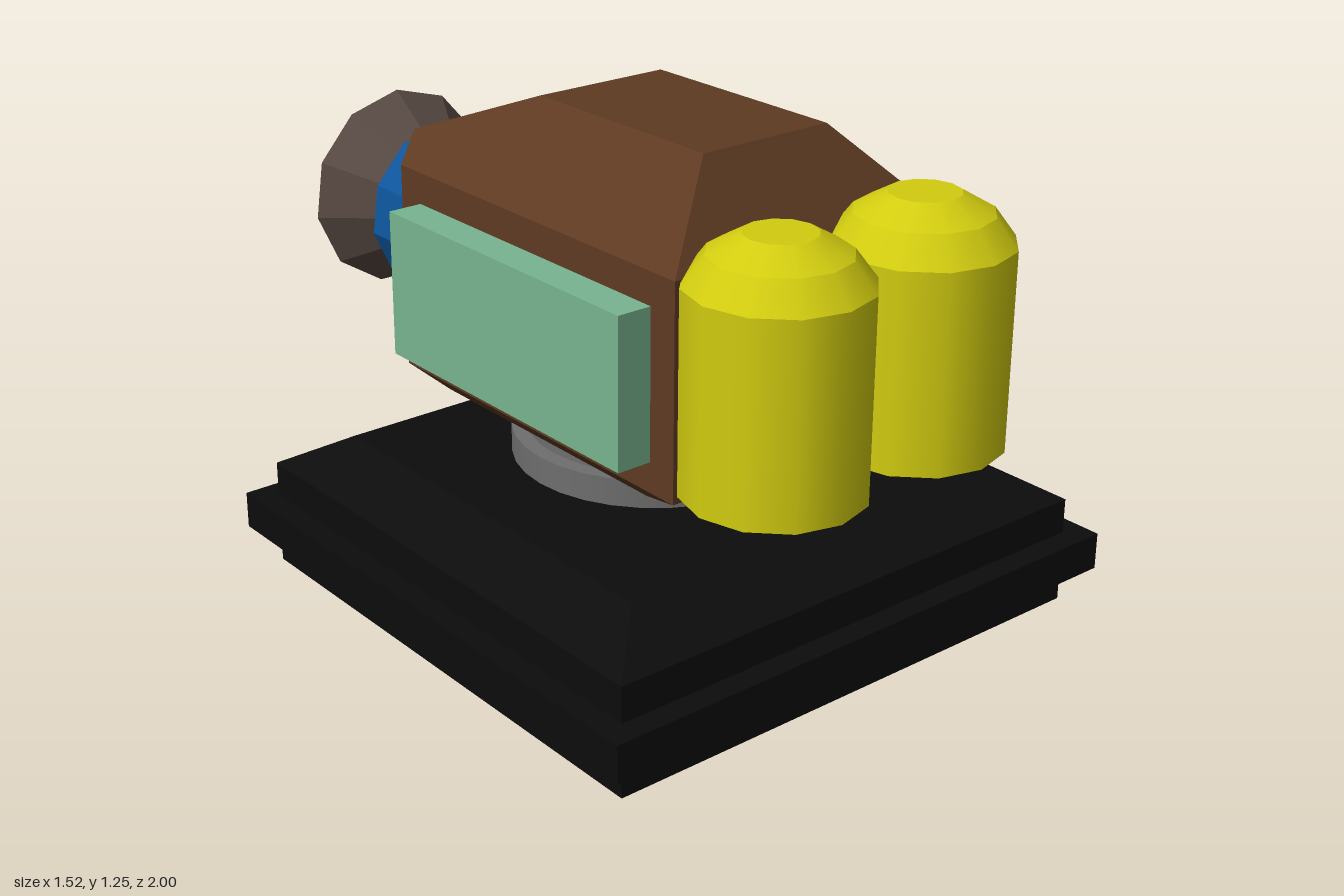
import * as THREE from 'three';
import { ConvexGeometry } from 'three/addons/geometries/ConvexGeometry.js';

const material = (name, color, side = THREE.FrontSide) =>
  Object.assign(new THREE.MeshStandardMaterial({ color, side }), { name });

// Separates the faces so every facet is flat
function faceted(geometry) {
  const flat = geometry.toNonIndexed();
  flat.computeVertexNormals();
  return flat;
}

export function createModel() {
  const model = new THREE.Group();
  model.name = 'turret';

  const black = material('black', 0x0c0c0c, THREE.DoubleSide);
  const grey = material('grey', 0x6e6e6e, THREE.DoubleSide);
  const brown = material('brown', 0x5e3a22);
  const green = material('green', 0x78b490);
  const yellow = material('yellow', 0xd2cc10);
  const blue = material('blue', 0x0e559b);
  const umber = material('umber', 0x594a44, THREE.DoubleSide);

  function add(name, geometry, mat, x = 0, y = 0, z = 0, parent = model) {
    const mesh = new THREE.Mesh(geometry, mat);
    mesh.name = name;
    mesh.position.set(x, y, z);
    parent.add(mesh);
    return mesh;
  }

  // Hollow square base with a raised band and a sloped top
  const profile = [
    [0.7, 0], [0.7, 0.09], [0.76, 0.09], [0.76, 0.185],
    [0.7, 0.185], [0.7, 0.275], [0.555, 0.36], [0, 0.36],
  ].map(([half, y]) => new THREE.Vector2(half * Math.SQRT2, y));
  const base = new THREE.LatheGeometry(profile, 4).rotateY(Math.PI / 4);
  add('base', faceted(base), black, 0, 0, 0.155);

  // Two-step turntable
  add('turntableLower', new THREE.CylinderGeometry(0.355, 0.355, 0.075, 32), grey, 0, 0.3925, 0.115);
  add('turntableUpper', new THREE.CylinderGeometry(0.315, 0.315, 0.06, 32), grey, 0, 0.45, 0.115);
  // Black plate closing the turntable from below
  add('turntablePlate', new THREE.CylinderGeometry(0.353, 0.353, 0.008, 32), black, 0, 0.35, 0.115);

  // Bevelled body: the hull of mirrored corner points
  const corners = [
    [0.34, 0.47, 0.5], [0.34, 0.47, -0.28],
    [0.39, 0.52, 0.65], [0.39, 1.045, 0.65],
    [0.39, 0.52, -0.39], [0.39, 1.045, -0.39],
    [0.26, 0.52, -0.52], [0.26, 1.045, -0.52],
    [0.315, 1.11, -0.44],
    [0.185, 1.25, 0.5], [0.185, 1.25, -0.09],
  ];
  const hull = corners.flatMap(([x, y, z]) => [
    new THREE.Vector3(x, y, z), new THREE.Vector3(-x, y, z),
  ]);
  add('body', new ConvexGeometry(hull), brown);

  for (const [side, s] of [['left', 1], ['right', -1]]) {
    // Side panels
    add(side + 'Panel', new THREE.BoxGeometry(0.1, 0.37, 0.88), green, s * 0.43, 0.78, 0.13);

    // Domed tanks, stacked from frustums
    const tank = new THREE.Group();
    tank.name = side + 'Tank';
    tank.position.set(s * 0.216, 0, 0.785);
    model.add(tank);
    const rings = [[0.215, 0.555], [0.215, 1.04], [0.163, 1.11], [0.085, 1.155]];
    ['tankWall', 'domeLower', 'domeUpper'].forEach((name, i) => {
      const [r0, y0] = rings[i], [r1, y1] = rings[i + 1];
      add(name, new THREE.CylinderGeometry(r1, r0, y1 - y0, 12), yellow, 0, (y0 + y1) / 2, 0, tank);
    });
  }

  // Rear parts run along -z
  function rear(name, mat, r0, r1, z0, z1, open) {
    const g = new THREE.CylinderGeometry(r1, r0, z0 - z1, 11, 1, open).rotateX(-Math.PI / 2);
    add(name, faceted(g), mat, 0, 0.757, (z0 + z1) / 2);
  }
  rear('engineHousing', blue, 0.232, 0.232, -0.5, -0.785, false);
  rear('nozzleNeck', umber, 0.17, 0.17, -0.78, -0.857, true);
  rear('nozzleFloor', umber, 0.169, 0.169, -0.78, -0.789, false);
  rear('nozzleBell', umber, 0.17, 0.275, -0.857, -1, true);

  return model;
}
